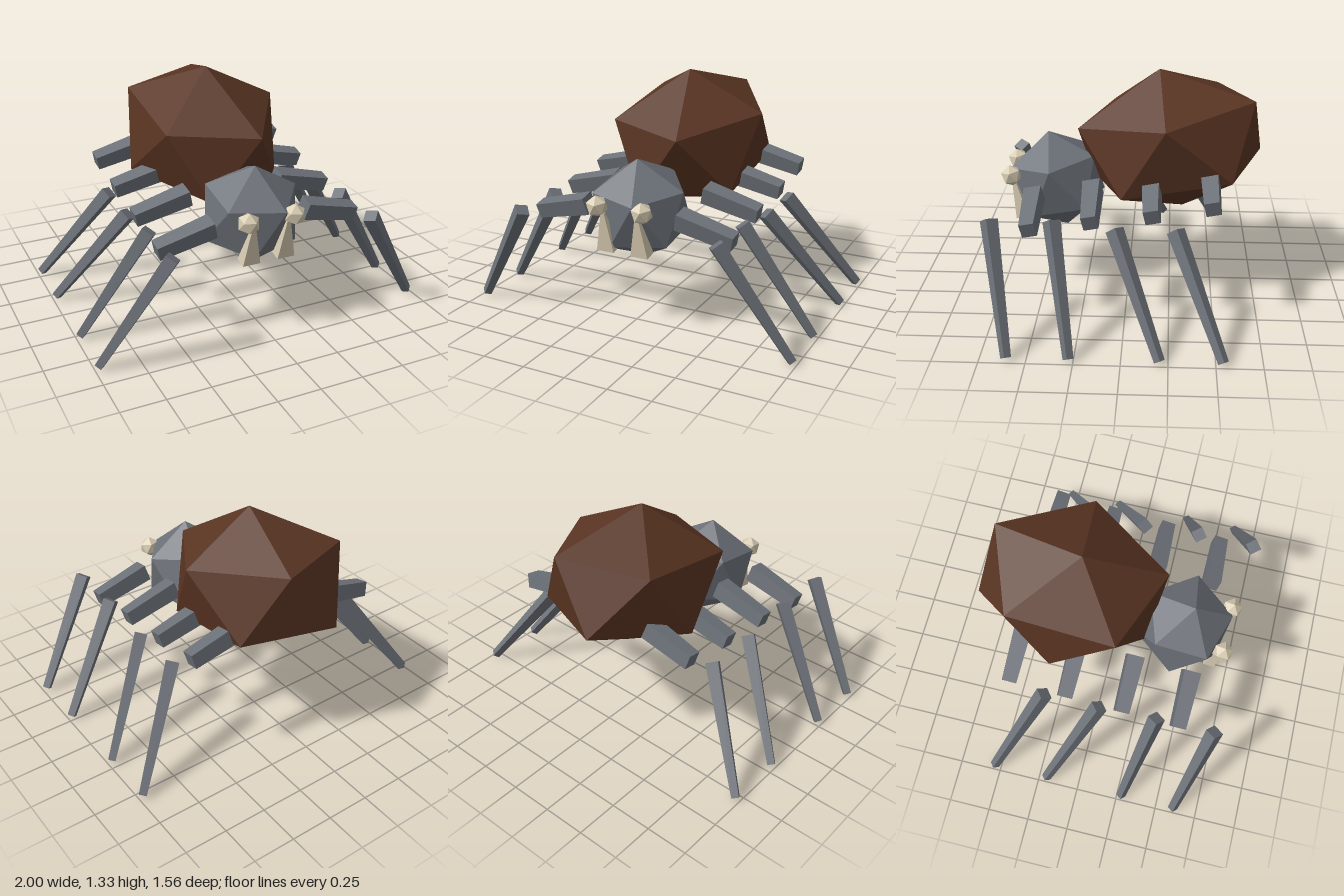
import * as THREE from 'three';
import { ConvexGeometry } from 'three/addons/geometries/ConvexGeometry.js';

const material = (name, color) => {
  const m = new THREE.MeshStandardMaterial({ color });
  m.name = name;
  return m;
};

// Twenty-sided ball standing on a vertex, stretched and then tilted forward
function faceted(name, mat, [rx, ry, rz], tilt, position) {
  const points = [new THREE.Vector3(0, ry, 0), new THREE.Vector3(0, -ry, 0)];
  for (let i = 0; i < 5; i++) {
    const a = (i * Math.PI * 2) / 5;
    const p = new THREE.Vector3(0.8944 * Math.cos(a) * rx, 0.4472 * ry, 0.8944 * Math.sin(a) * rz);
    points.push(p, p.clone().negate());
  }
  const mesh = new THREE.Mesh(new ConvexGeometry(points), mat);
  mesh.name = name;
  mesh.rotation.x = tilt;
  mesh.position.set(...position);
  return mesh;
}

// Tapered square bar between two points; sizes are [width, depth] at each end
function bar(name, mat, from, to, sizeFrom, sizeTo, roll = 0) {
  const a = new THREE.Vector3(...from), b = new THREE.Vector3(...to);
  const axis = b.clone().sub(a);
  const geo = new THREE.BoxGeometry(1, axis.length(), 1);
  const pos = geo.attributes.position;
  for (let i = 0; i < pos.count; i++) {
    const [w, d] = pos.getY(i) > 0 ? sizeTo : sizeFrom;
    pos.setX(i, pos.getX(i) * w);
    pos.setZ(i, pos.getZ(i) * d);
  }
  geo.computeVertexNormals();

  axis.normalize();
  const side = new THREE.Vector3().crossVectors(axis, new THREE.Vector3(0, 1, 0)).normalize();
  if (side.z < 0) side.negate();
  const outer = new THREE.Vector3().crossVectors(axis, side);
  if (outer.y < 0) outer.negate();
  const x = side.multiplyScalar(Math.cos(roll)).addScaledVector(outer, Math.sin(roll));
  const z = new THREE.Vector3().crossVectors(x, axis);

  const mesh = new THREE.Mesh(geo, mat);
  mesh.name = name;
  mesh.quaternion.setFromRotationMatrix(new THREE.Matrix4().makeBasis(x, axis, z));
  mesh.position.copy(a).add(b).multiplyScalar(0.5);
  return mesh;
}

export function createModel() {
  const model = new THREE.Group();
  model.name = 'spider';
  const grey = material('slate grey', 0x6c7178);
  const brown = material('dark brown', 0x593422);
  const cream = material('bone', 0xd6cab0);

  // Body
  model.add(faceted('abdomen', brown, [0.5, 0.425, 0.597], 0.17, [0, 0.905, -0.25]));
  model.add(faceted('head', grey, [0.3, 0.3, 0.295], 0.17, [0, 0.645, 0.42]));

  // Upper leg: z, inner height, outer height; lower leg: knee z and y, foot z
  const legs = [
    { z: 0.525, inner: 0.66, outer: 0.58, kneeZ: 0.73, kneeY: 0.635, footZ: 0.605 },
    { z: 0.19, inner: 0.71, outer: 0.63, kneeZ: 0.39, kneeY: 0.635, footZ: 0.275 },
    { z: -0.145, inner: 0.745, outer: 0.67, kneeZ: 0.05, kneeY: 0.59, footZ: -0.205 },
    { z: -0.47, inner: 0.8, outer: 0.725, kneeZ: -0.28, kneeY: 0.59, footZ: -0.54 },
  ];

  for (const s of [1, -1]) {
    const label = s > 0 ? 'left' : 'right';

    // Eyes and fangs
    model.add(faceted(label + 'Eye', cream, [0.063, 0.063, 0.063], 0.17, [s * 0.138, 0.712, 0.677]));
    model.add(bar(label + 'Fang', cream, [s * 0.105, 0.68, 0.672], [s * 0.105, 0.455, 0.62],
      [0.02, 0.015], [0.105, 0.072]));

    // Legs
    legs.forEach((l, i) => {
      const leg = new THREE.Group();
      leg.name = `${label}Leg${i + 1}`;
      leg.add(bar('upperLeg', grey, [s * 0.28, l.inner, l.z], [s * 0.605, l.outer, l.z - 0.005],
        [0.1, 0.1], [0.083, 0.085], -0.2));
      leg.add(bar('lowerLeg', grey, [s * 0.592, l.kneeY, l.kneeZ], [s * 0.975, 0.014, l.footZ],
        [0.072, 0.072], [0.042, 0.042], 0.4));
      model.add(leg);
    });
  }
  return model;
}
